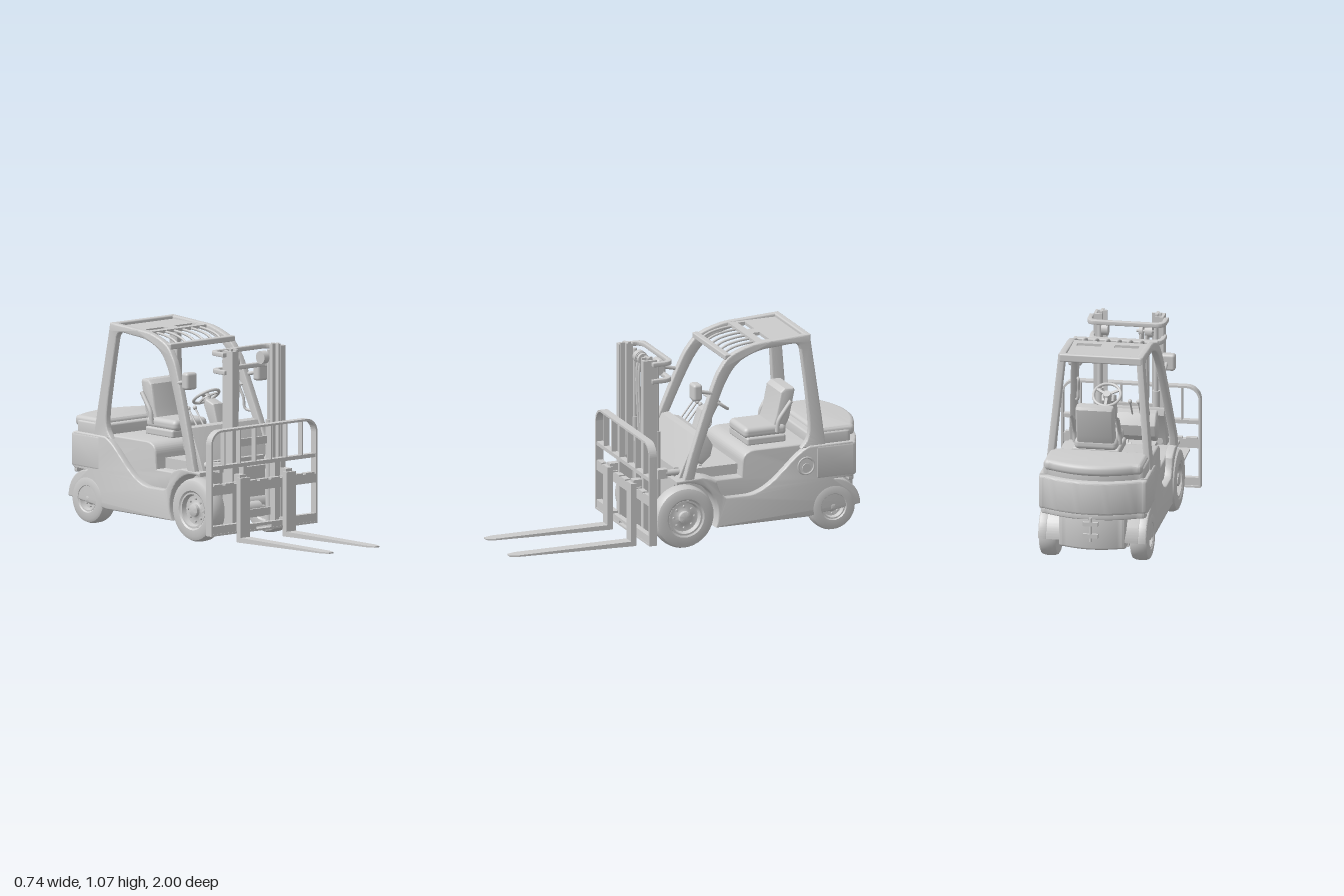
import * as THREE from 'three';
import { toCreasedNormals } from 'three/addons/utils/BufferGeometryUtils.js';
import { RoundedBoxGeometry } from 'three/addons/geometries/RoundedBoxGeometry.js';

const V = (x, y, z) => new THREE.Vector3(x, y, z);

export function createModel() {
  const root = new THREE.Group();
  const mat = new THREE.MeshStandardMaterial({ color: 0xcccccc, side: THREE.DoubleSide });
  const add = (name, geo, parent = root) => {
    const m = new THREE.Mesh(geo, mat);
    m.name = name;
    parent.add(m);
    return m;
  };
  // Box given by its limits on each axis
  const box = (name, x0, x1, y0, y1, z0, z1, r = 0) => {
    const s = [x1 - x0, y1 - y0, z1 - z0];
    const m = add(name, r ? new RoundedBoxGeometry(...s, 3, r) : new THREE.BoxGeometry(...s));
    m.position.set((x0 + x1) / 2, (y0 + y1) / 2, (z0 + z1) / 2);
    return m;
  };
  const tube = (name, pts, r, sides = 8) => add(name, new THREE.TubeGeometry(
    new THREE.CatmullRomCurve3(pts.map(p => V(...p))), pts.length > 2 ? 32 : 1, r, sides));
  // Solid rod with closed ends
  const rod = (name, a, b, r, sides = 16) => {
    const p = V(...a), q = V(...b), d = q.clone().sub(p);
    const m = add(name, new THREE.CylinderGeometry(r, r, d.length(), sides));
    m.position.copy(p).add(q).multiplyScalar(0.5);
    m.quaternion.setFromUnitVectors(V(0, 1, 0), d.normalize());
    return m;
  };
  const extrude = (shape, depth, b = 0) => new THREE.ExtrudeGeometry(shape, {
    depth: depth - 2 * b, bevelEnabled: b > 0, bevelSize: b, bevelThickness: b, bevelOffset: -b,
    bevelSegments: 3, curveSegments: 20 }).translate(0, 0, b);
  // Side profile in (z, y), spanning x0..x1
  const profile = (name, shape, x0, x1, b = 0) =>
    add(name, toCreasedNormals(extrude(shape, x1 - x0, b).rotateY(-Math.PI / 2).translate(x1, 0, 0), 0.6));
  // Plan shape in (x, -z), spanning y0..y1
  const plan = (name, shape, y0, y1, b = 0) =>
    add(name, toCreasedNormals(extrude(shape, y1 - y0, b).rotateX(-Math.PI / 2).translate(0, y0, 0), 0.6));
  const poly = pts => new THREE.Shape(pts.map(p => new THREE.Vector2(...p)));

  // Chassis and body with wheel arches
  box('chassis', -0.185, 0.185, 0.095, 0.4, -0.88, 0.07);
  const bodyShape = top => {
    const s = new THREE.Shape();
    s.moveTo(-0.125, 0.095);
    s.lineTo(-0.64, 0.095);
    s.absarc(-0.79, 0.135, 0.153, Math.PI, 0.95 * Math.PI / 1.9, true);
    s.lineTo(-0.9, 0.288);
    s.lineTo(-0.9, 0.48);
    top(s);
    s.lineTo(-0.1, 0.365);
    s.lineTo(-0.05, 0.378);
    s.lineTo(0.1, 0.372);
    s.absarc(0.05, 0.17, 0.188, 1.3, Math.PI + 0.4, false);
    return s;
  };
  profile('innerBody', bodyShape(s => {
    s.lineTo(-0.64, 0.485);
    s.lineTo(-0.36, 0.485);
    s.quadraticCurveTo(-0.29, 0.48, -0.29, 0.42);
    s.lineTo(-0.285, 0.345);
    s.lineTo(-0.14, 0.345);
  }), -0.25, 0.25, 0.008);
  for (const x of [-0.288, 0.24]) profile('sidePanel', bodyShape(s => {
    s.lineTo(-0.66, 0.48);
    s.bezierCurveTo(-0.55, 0.45, -0.46, 0.26, -0.3, 0.252);
    s.lineTo(-0.19, 0.252);
    s.quadraticCurveTo(-0.15, 0.26, -0.13, 0.345);
  }), x, x + 0.048, 0.007);

  // Counterweight and engine hood, curved across the rear
  const rearPlan = (w, front, corner, centre) => {
    const s = new THREE.Shape();
    s.moveTo(-w, -front);
    s.lineTo(w, -front);
    s.lineTo(w, -corner - 0.03);
    s.quadraticCurveTo(w, -corner, w - 0.03, -corner);
    s.quadraticCurveTo(0, corner - 2 * centre, 0.03 - w, -corner);
    s.quadraticCurveTo(-w, -corner, -w, -corner - 0.03);
    return s;
  };
  plan('counterweight', rearPlan(0.29, -0.7, -0.925, -0.998), 0.295, 0.475, 0.012);
  plan('hoodSide', rearPlan(0.27, -0.66, -0.9, -0.965), 0.45, 0.54, 0.01);
  plan('hoodTop', rearPlan(0.262, -0.7, -0.925, -0.99), 0.505, 0.562, 0.02);
  plan('rearBumper', rearPlan(0.28, -0.88, -0.915, -0.985), 0.265, 0.3, 0.006);
  plan('lowerCounterweight', rearPlan(0.18, -0.84, -0.95, -0.985), 0.1, 0.28, 0.012);
  for (const y of [0.17, 0.235]) box('towPlate', -0.04, 0.04, y, y + 0.022, -1, -0.95);
  rod('towPin', [0, 0.15, -0.99], [0, 0.28, -0.99], 0.009);

  // Filler cap recess on the left flank
  const cap = add('fillerRing', new THREE.TorusGeometry(0.045, 0.006, 8, 32));
  cap.rotation.y = Math.PI / 2;
  cap.position.set(0.287, 0.375, -0.635);
  rod('fillerCap', [0.27, 0.365, -0.635], [0.295, 0.365, -0.635], 0.024);

  // Front cowl and dashboard
  profile('frontCowl', poly([[0.07, 0.36], [0.035, 0.45], [-0.03, 0.59], [-0.07, 0.595], [-0.08, 0.56],
    [-0.02, 0.44], [0, 0.36]]), -0.235, 0.235, 0.005);
  profile('dashboard', poly([[-0.03, 0.46], [-0.06, 0.59], [-0.11, 0.58], [-0.145, 0.52], [-0.13, 0.46],
    [-0.08, 0.42]]), -0.2, 0.2, 0.01);
  box('frontWall', -0.19, 0.19, 0.1, 0.42, 0.02, 0.075);

  // Overhead guard: side frames lean inwards with height
  const frame = new THREE.Shape();
  const spline = a => frame.splineThru(a.map(p => new THREE.Vector2(...p)));
  frame.moveTo(0.06, 0.36);
  spline([[0.025, 0.47], [-0.05, 0.67], [-0.13, 0.87], [-0.175, 0.95], [-0.235, 1.01], [-0.36, 1.052], [-0.5, 1.063], [-0.685, 1.073]]);
  for (const p of [[-0.688, 1.03], [-0.735, 0.62], [-0.75, 0.47], [-0.61, 0.47]]) frame.lineTo(...p);
  spline([[-0.65, 0.52], [-0.662, 0.6], [-0.65, 0.78], [-0.628, 1.0]]);
  spline([[-0.6, 1.03], [-0.5, 1.026], [-0.39, 1.015], [-0.28, 0.97], [-0.21, 0.89], [-0.15, 0.77], [-0.07, 0.58], [-0.025, 0.46], [0, 0.36]]);
  for (const s of [-1, 1]) {
    const m = profile('guardFrame', frame, s > 0 ? 0.248 : -0.285, s > 0 ? 0.285 : -0.248, 0.007);
    const p = m.geometry.attributes.position;
    for (let i = 0; i < p.count; i++) p.setX(i, p.getX(i) - s * Math.max(0, p.getY(i) - 0.42) * 0.092);
  }
  const roof = poly([[-0.21, 0.39], [0.21, 0.39], [0.21, 0.675], [-0.21, 0.675]]);
  for (const x of [-0.1, 0.1]) roof.holes.push(new THREE.Path([[x - 0.065, 0.435], [x - 0.065, 0.475],
    [x + 0.065, 0.475], [x + 0.065, 0.435]].map(p => new THREE.Vector2(...p))));
  plan('roofPlate', roof, 1.038, 1.055);
  box('roofRearBar', -0.22, 0.22, 1.03, 1.073, -0.69, -0.655, 0.008);
  box('roofFrontBar', -0.225, 0.225, 0.985, 1.015, -0.235, -0.2, 0.006);
  for (let i = 0; i < 6; i++) {
    const x = -0.15 + i * 0.06;
    tube('roofBar', [[x, 1.045, -0.4], [x, 1.04, -0.34], [x, 1.025, -0.27], [x, 0.998, -0.215]], 0.007);
  }
  // Lamps and grab handle
  for (const s of [-1, 1]) {
    box('lamp', s * 0.248 - 0.037, s * 0.248 + 0.037, 0.797, 0.888, -0.05, 0, 0.015);
    rod('lampBracket', [s * 0.24, 0.84, -0.04], [s * 0.24, 0.82, -0.12], 0.01);
  }
  tube('grabHandle', [[0.235, 0.63, -0.08], [0.22, 0.64, -0.115], [0.215, 0.7, -0.125], [0.21, 0.76, -0.15], [0.225, 0.77, -0.125]], 0.008);

  // Seat
  box('seatBase', -0.08, 0.17, 0.48, 0.525, -0.57, -0.35, 0.012);
  box('seatCushion', -0.07, 0.16, 0.515, 0.575, -0.58, -0.34, 0.025);
  profile('seatBack', poly([[-0.5, 0.55], [-0.525, 0.62], [-0.55, 0.745], [-0.575, 0.765], [-0.625, 0.765],
    [-0.632, 0.75], [-0.6, 0.6], [-0.57, 0.54]]), -0.055, 0.145, 0.012);
  for (const x of [-0.075, 0.165]) tube('armrest', [[x, 0.54, -0.52], [x, 0.6, -0.53], [x, 0.66, -0.57], [x, 0.7, -0.6]], 0.012);

  // Steering and controls
  const steer = new THREE.Group();
  steer.name = 'steeringWheel';
  steer.position.set(0.045, 0.708, -0.225);
  steer.rotation.x = -0.62;
  root.add(steer);
  add('rim', new THREE.TorusGeometry(0.072, 0.008, 10, 40).rotateX(Math.PI / 2), steer);
  add('hub', new THREE.CylinderGeometry(0.02, 0.024, 0.025, 20), steer);
  for (let i = 0; i < 3; i++) {
    const a = i * Math.PI * 2 / 3;
    add('spoke', new THREE.BoxGeometry(0.07, 0.008, 0.014).translate(0.035, 0, 0).rotateY(a + Math.PI / 2), steer);
  }
  rod('steeringColumn', [0.045, 0.7, -0.22], [0.045, 0.5, -0.1], 0.02);
  profile('columnCover', poly([[-0.13, 0.68], [-0.19, 0.7], [-0.21, 0.67], [-0.15, 0.55], [-0.08, 0.52]]), 0.01, 0.08, 0.008);
  for (const x of [-0.16, -0.115, -0.07]) {
    rod('lever', [x, 0.56, -0.1], [x, 0.66, -0.18], 0.005);
    add('leverKnob', new THREE.SphereGeometry(0.012, 12, 8)).position.set(x, 0.665, -0.184);
  }
  for (const x of [-0.04, 0.06, 0.13]) {
    const p = box('pedal', x - 0.022, x + 0.022, 0.385, 0.393, -0.14, -0.08);
    p.rotation.x = -0.6;
    rod('pedalArm', [x, 0.39, -0.1], [x, 0.46, -0.05], 0.006);
  }

  // Wheels: rounded tyre, dished rim, hub and bolts
  const wheel = (name, s, x, y, z, R, h, rim) => {
    const g = new THREE.Group();
    g.name = name;
    g.position.set(s * x, y, z);
    g.rotation.z = -s * Math.PI / 2;
    root.add(g);
    const lathe = (n, pts) => add(n, toCreasedNormals(new THREE.LatheGeometry(
      pts.map(p => new THREE.Vector2(...p)), 40), 0.6), g);
    lathe('tyre', [[rim, -h * 0.85], [rim * 1.1, -h], [R * 0.83, -h], [R * 0.94, -h * 0.85], [R * 0.99, -h * 0.5],
      [R, 0], [R * 0.99, h * 0.5], [R * 0.94, h * 0.85], [R * 0.83, h], [rim * 1.1, h], [rim, h * 0.85]]);
    lathe('rim', [[0, -h * 0.8], [rim, -h * 0.85], [rim, h * 0.9], [rim * 0.9, h * 0.9], [rim * 0.82, h * 0.4],
      [rim * 0.5, h * 0.35], [rim * 0.36, h * 0.5], [rim * 0.34, h * 0.85], [rim * 0.22, h * 0.95], [0, h * 0.95]]);
    for (let i = 0; i < 8; i++) {
      const a = i * Math.PI / 4;
      add('bolt', new THREE.CylinderGeometry(rim * 0.07, rim * 0.07, 0.014, 6), g)
        .position.set(rim * 0.62 * Math.cos(a), h * 0.45, rim * 0.62 * Math.sin(a));
    }
  };
  for (const s of [-1, 1]) {
    wheel('frontWheel', s, 0.248, 0.17, 0.05, 0.168, 0.049, 0.095);
    wheel('rearWheel', s, 0.242, 0.133, -0.79, 0.13, 0.049, 0.066);
  }
  rod('frontAxle', [-0.24, 0.17, 0.05], [0.24, 0.17, 0.05], 0.045);
  rod('rearAxle', [-0.24, 0.133, -0.79], [0.24, 0.133, -0.79], 0.03);

  // Mast: nested channels, lift cylinders, tilt cylinders
  for (const s of [-1, 1]) {
    const span = (name, a, b, ...rest) => box(name, Math.min(s * a, s * b), Math.max(s * a, s * b), ...rest);
    span('outerRailWeb', 0.172, 0.186, 0.06, 1.02, 0.168, 0.245);
    span('outerRailFlange', 0.14, 0.186, 0.06, 1.02, 0.168, 0.182);
    span('outerRailFlange', 0.15, 0.186, 0.06, 1.02, 0.231, 0.245);
    span('innerRailWeb', 0.14, 0.154, 0.07, 1.03, 0.18, 0.24);
    span('innerRailFlange', 0.12, 0.17, 0.07, 1.03, 0.2, 0.215);
    rod('liftCylinder', [s * 0.15, 0.08, 0.155], [s * 0.15, 0.62, 0.155], 0.02);
    rod('liftPiston', [s * 0.15, 0.62, 0.155], [s * 0.15, 0.99, 0.155], 0.012);
    rod('chainPulley', [s * 0.1, 0.95, 0.14], [s * 0.135, 0.95, 0.14], 0.034, 24);
    rod('tiltCylinder', [s * 0.2, 0.4, -0.02], [s * 0.2, 0.4, 0.13], 0.017);
    span('tiltBracket', 0.18, 0.215, 0.375, 0.425, 0.12, 0.175);

    // Forks
    const fork = poly([[-0.0325, -0.29], [0.0325, -0.29], [0.0325, -0.95], [0.016, -1], [-0.016, -1], [-0.0325, -0.95]]);
    const blade = plan('forkBlade', fork, 0.02, 0.045);
    const p = blade.geometry.attributes.position;
    for (let i = 0; i < p.count; i++) if (p.getY(i) < 0.03) p.setY(i, 0.018 + 0.02 * (p.getZ(i) - 0.29) / 0.71);
    blade.geometry.computeVertexNormals();
    blade.position.x = s * 0.16;
    span('forkShank', 0.1275, 0.1925, 0.02, 0.36, 0.287, 0.318);
    span('forkHook', 0.14, 0.18, 0.33, 0.375, 0.25, 0.3);
  }
  for (const y of [0.12, 0.5]) box('mastCrossMember', -0.18, 0.18, y, y + 0.04, 0.165, 0.18);
  // Curved yokes joining the rails behind the mast
  for (const [y, w] of [[0.893, 0.2], [0.988, 0.21]]) {
    const u = new THREE.Shape();
    const edge = (o, first) => [[-w + o, -0.2], [-w + o, -0.14], [-w + o + 0.05, -0.08 - o], [w - o - 0.05, -0.08 - o], [w - o, -0.14], [w - o, -0.2]];
    const a = edge(0), b = edge(0.024).reverse();
    u.moveTo(...a[0]); u.lineTo(...a[1]);
    u.quadraticCurveTo(a[1][0], a[2][1], ...a[2]); u.lineTo(...a[3]);
    u.quadraticCurveTo(a[4][0], a[3][1], ...a[4]); u.lineTo(...a[5]);
    u.lineTo(...b[0]); u.lineTo(...b[1]);
    u.quadraticCurveTo(b[1][0], b[2][1], ...b[2]); u.lineTo(...b[3]);
    u.quadraticCurveTo(b[4][0], b[3][1], ...b[4]); u.lineTo(...b[5]);
    plan('mastYoke', u, y, y + 0.024, 0.004);
  }
  // Hoses and the horizontal cylinder
  for (const x of [-0.105, -0.075]) {
    tube('hose', [[x, 0.14, 0.17], [x, 0.5, 0.15], [x, 0.9, 0.16], [x, 0.975, 0.14], [x, 0.93, 0.115], [x, 0.6, 0.13], [x, 0.13, 0.14]], 0.009);
    rod('hosePulley', [x - 0.01, 0.95, 0.14], [x + 0.01, 0.95, 0.14], 0.03, 24);
  }
  rod('pulleyShaft', [-0.14, 0.95, 0.14], [-0.05, 0.95, 0.14], 0.008);
  rod('sideShiftCylinder', [-0.045, 0.155, 0.125], [0.1, 0.155, 0.125], 0.037, 24);
  rod('sideShiftRod', [-0.12, 0.155, 0.125], [0.14, 0.155, 0.125], 0.012);

  // Carriage plates and load backrest
  const rest = new THREE.Shape();
  const arch = (p, w, y0, y1, r) => {
    p.moveTo(-w, y0); p.lineTo(w, y0); p.lineTo(w, y1 - r);
    p.absarc(w - r, y1 - r, r, 0, Math.PI / 2, false);
    p.lineTo(r - w, y1 - r + r);
    p.absarc(r - w, y1 - r, r, Math.PI / 2, Math.PI, false);
  };
  arch(rest, 0.37, 0.065, 0.622, 0.075);
  const hole = new THREE.Path();
  arch(hole, 0.36, 0.075, 0.611, 0.066);
  rest.holes.push(hole);
  add('backrestFrame', toCreasedNormals(extrude(rest, 0.042).translate(0, 0, 0.246), 0.6));
  const lower = poly([[-0.37, 0.065], [-0.052, 0.065], [-0.052, 0.09], [0.052, 0.09], [0.052, 0.065], [0.37, 0.065],
    [0.37, 0.117], [0.13, 0.117], [0.13, 0.075 + 0.03], [-0.13, 0.105], [-0.13, 0.117], [-0.37, 0.117]]);
  add('lowerCarriagePlate', extrude(lower, 0.03).translate(0, 0, 0.256));
  box('upperCarriagePlate', -0.365, 0.365, 0.28, 0.328, 0.256, 0.286);
  for (let i = -4; i <= 4; i++) box('carriageTooth', i * 0.08 - 0.03, i * 0.08 + 0.03, 0.325, 0.336, 0.256, 0.286);
  box('backrestRail', -0.365, 0.365, 0.414, 0.434, 0.25, 0.284);
  for (let i = 0; i < 6; i++) {
    const x = -0.27 + i * 0.108;
    box('backrestBar', x - 0.004, x + 0.004, 0.42, 0.615, 0.25, 0.282);
  }
  for (const x of [-0.11, 0.11]) box('carriageUpright', x - 0.012, x + 0.012, 0.08, 0.43, 0.225, 0.262);
  return root;
}
